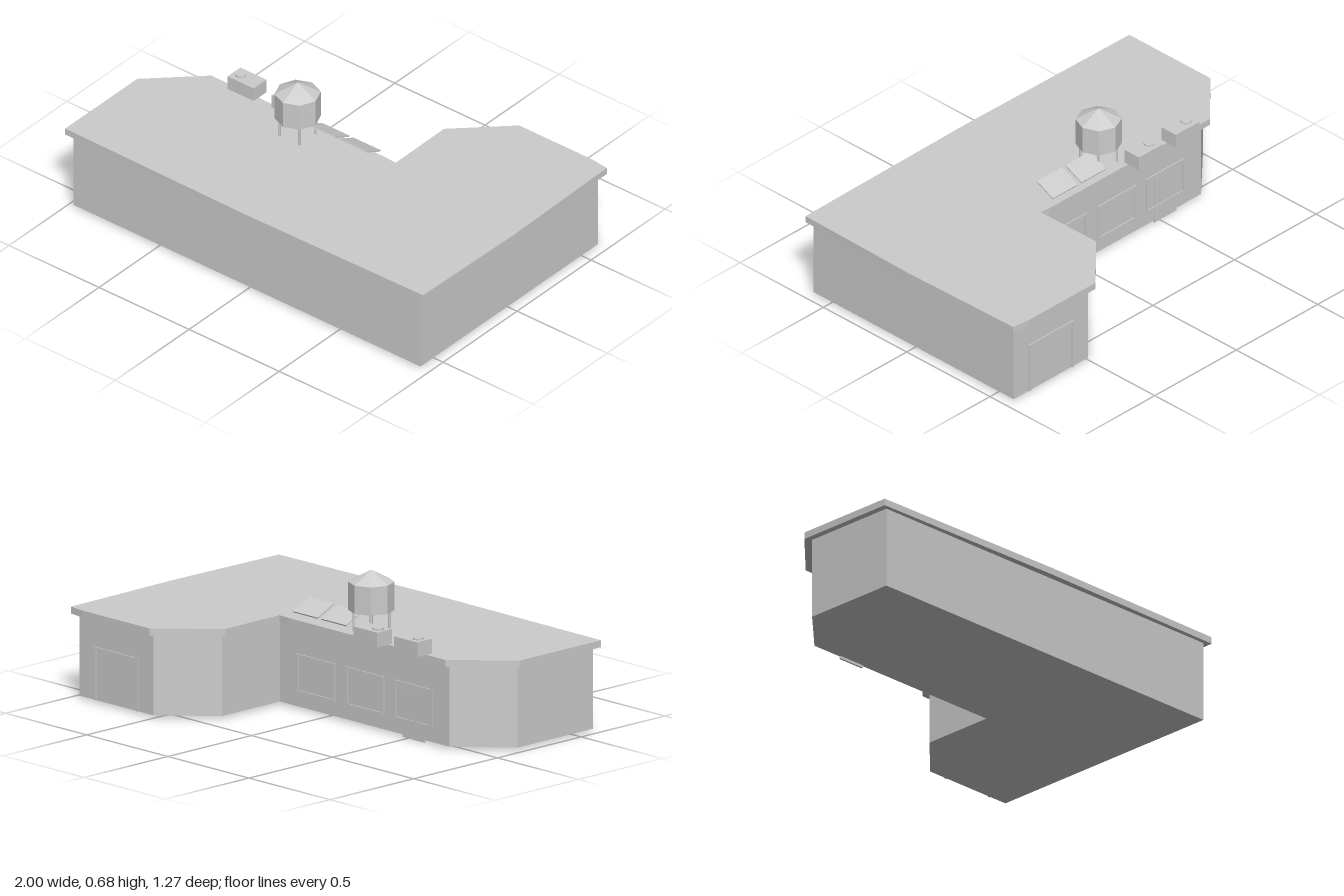
import * as THREE from 'three';

export function createModel() {
  const model = new THREE.Group();
  model.name = 'building';
  const grey = new THREE.MeshStandardMaterial({ color: 0xcccccc });
  grey.name = 'plain grey';

  function add(parent, name, geometry, x = 0, y = 0, z = 0) {
    const mesh = new THREE.Mesh(geometry, grey);
    mesh.name = name;
    mesh.position.set(x, y, z);
    parent.add(mesh);
    return mesh;
  }
  function group(name, x, y, z) {
    const g = new THREE.Group();
    g.name = name;
    g.position.set(x, y, z);
    model.add(g);
    return g;
  }
  const box = (w, h, d) => new THREE.BoxGeometry(w, h, d);
  const faceted = (g) => {
    const flat = g.toNonIndexed();
    flat.computeVertexNormals();
    return flat;
  };
  // Flat slab from an outline of [x, z] points
  function slab(outline, height) {
    const shape = new THREE.Shape(outline.map(([x, z]) => new THREE.Vector2(x, -z)));
    const g = new THREE.ExtrudeGeometry(shape, { depth: height, bevelEnabled: false });
    return g.rotateX(-Math.PI / 2);
  }

  // L-shaped walls with cut corners
  const walls = [
    [-0.97, 0.60], [0.957, 0.60], [0.957, -0.60], [0.50, -0.60],
    [0.29, -0.395], [0.29, -0.05], [-0.755, -0.05], [-0.97, 0.15],
  ];
  add(model, 'walls', slab(walls, 0.365), 0, 0.012, 0);

  // Overhanging roof
  const roof = [
    [-1, 0.62], [0, 0.632], [0.987, 0.62], [0.998, 0], [0.985, -0.625],
    [0.9, -0.635], [0.49, -0.635], [0.257, -0.41], [0.26, -0.08],
    [0.2, -0.085], [-0.77, -0.088], [-1, 0.133],
  ];
  add(model, 'roof', slab(roof, 0.031), 0, 0.376, 0);

  // Raised frame on a back wall; open at the bottom for doorways
  function frame(name, x0, x1, y0, y1, wallZ, sill) {
    const t = 0.012, d = 0.006;
    const g = group(name, (x0 + x1) / 2, 0, wallZ - d / 2 + 0.001);
    const w = x1 - x0, h = y1 - y0;
    for (const s of [-1, 1]) {
      add(g, 'frameSide', box(t, h, d), s * (w - t) / 2, y0 + h / 2, 0);
    }
    add(g, 'frameTop', box(w - 2 * t, t, d), 0, y1 - t / 2, 0);
    if (sill) add(g, 'frameSill', box(w - 2 * t, t, d), 0, y0 + t / 2, 0);
  }
  for (const x of [0.066, -0.237, -0.535]) {
    frame('windowFrame', x - 0.118, x + 0.118, 0.073, 0.246, -0.05, true);
  }
  frame('doorFrame', 0.59, 0.866, 0.012, 0.248, -0.60, false);

  // Small door below the end window
  add(model, 'smallDoor', box(0.135, 0.22, 0.008), -0.535, 0.11, -0.047);

  // Water tank on four legs
  const tank = group('waterTank', -0.2, 0, 0.022);
  add(tank, 'tankBody', faceted(new THREE.CylinderGeometry(0.1, 0.1, 0.125, 8)), 0, 0.5625, 0);
  add(tank, 'tankRoof', faceted(new THREE.ConeGeometry(0.1, 0.053, 8)), 0, 0.6515, 0);
  for (const sx of [-1, 1]) {
    for (const sz of [-1, 1]) {
      add(tank, 'tankLeg', faceted(new THREE.CylinderGeometry(0.006, 0.006, 0.1, 8)),
        sx * 0.055, 0.453, sz * 0.055);
    }
  }

  // Rooftop air units with fan caps
  for (const [x, z] of [[-0.58, -0.098], [-0.343, -0.108]]) {
    const unit = group('airUnit', x, 0, z);
    add(unit, 'unitBox', box(0.145, 0.066, 0.087), 0, 0.439, 0);
    add(unit, 'unitFan', faceted(new THREE.CylinderGeometry(0.024, 0.024, 0.008, 8)),
      -0.034, 0.475, 0);
  }

  // Tilted solar panels
  for (const x of [-0.07, 0.105]) {
    const panel = add(model, 'solarPanel', box(0.152, 0.006, 0.106), x, 0.459, -0.028);
    panel.rotation.x = -0.44;
  }

  return model;
}
